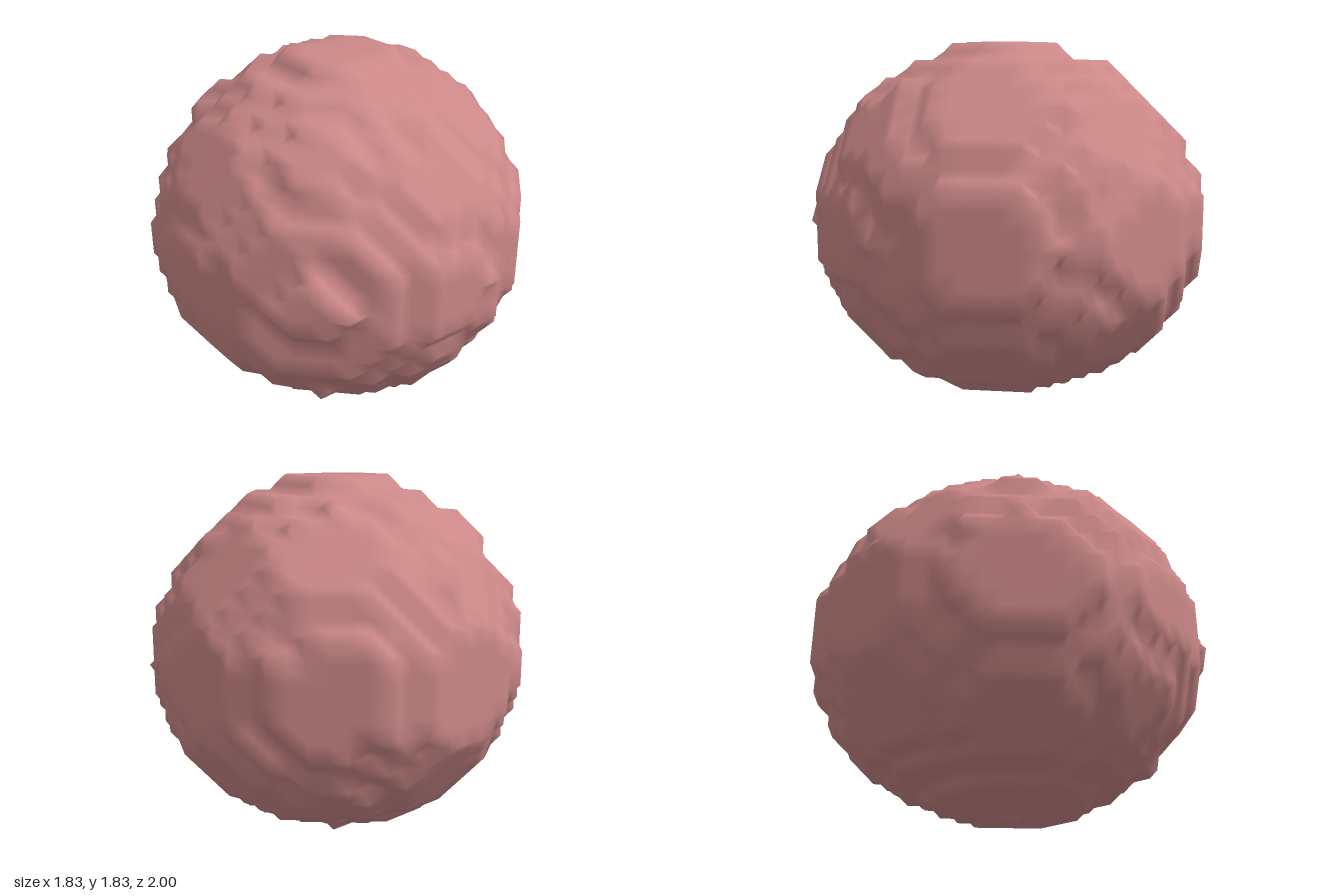
import * as THREE from 'three';

const H = 2 / 23; // grid spacing

// Squared semi-axes in grid steps, [negative side, positive side] for x, y, z
const AXES = [[118, 114], [100, 110], [137, 125.9]];

// The boulder is a slightly uneven ellipsoid sampled as solid / empty grid points
function solid(p) {
  return p.reduce((sum, c, a) => sum + (c * c) / AXES[a][c < 0 ? 0 : 1], 0) <= 1;
}

// The six faces of a cell, corners counter-clockwise from outside
const FACES = [];
for (let a = 0; a < 3; a++) {
  for (const s of [0, 1]) {
    const loop = [[0, 0], [1, 0], [1, 1], [0, 1]].map(([u, v]) => {
      const c = [0, 0, 0];
      c[a] = s;
      c[(a + 1) % 3] = u;
      c[(a + 2) % 3] = v;
      return c;
    });
    FACES.push(s ? loop : loop.reverse());
  }
}

// Chamfered skin through the midpoints between solid and empty grid points
function gridSkin(n) {
  const positions = [], indices = [], ids = new Map();

  const midpoint = (a, b) => {
    const sum = a.map((c, i) => c + b[i]);
    const key = sum.join();
    if (!ids.has(key)) {
      ids.set(key, positions.length / 3);
      positions.push(sum[0] * H / 2, (sum[1] / 2 + 10.5) * H, sum[2] * H / 2);
    }
    return ids.get(key);
  };

  const addCell = (x, y, z) => {
    // On each face, link the edge entering the solid to the edge leaving it
    const next = new Map();
    for (const face of FACES) {
      const pts = face.map((c) => [x + c[0], y + c[1], z + c[2]]);
      const inside = pts.map(solid);
      for (let e = 0; e < 4; e++) {
        if (inside[e] || !inside[(e + 1) % 4]) continue;
        let f = (e + 1) % 4;
        while (inside[(f + 1) % 4]) f = (f + 1) % 4;
        next.set(midpoint(pts[e], pts[(e + 1) % 4]), midpoint(pts[f], pts[(f + 1) % 4]));
      }
    }
    // Follow the links into closed loops and fill each as a fan
    while (next.size) {
      const loop = [];
      let v = next.keys().next().value;
      while (next.has(v)) {
        loop.push(v);
        const w = next.get(v);
        next.delete(v);
        v = w;
      }
      for (let i = 1; i < loop.length - 1; i++) indices.push(loop[0], loop[i], loop[i + 1]);
    }
  };

  for (let x = -n; x < n; x++)
    for (let y = -n; y < n; y++)
      for (let z = -n; z < n; z++) addCell(x, y, z);

  const geometry = new THREE.BufferGeometry();
  geometry.setAttribute('position', new THREE.Float32BufferAttribute(positions, 3));
  geometry.setIndex(indices);
  geometry.computeVertexNormals();
  return geometry;
}

export function createModel() {
  const group = new THREE.Group();
  const boulder = new THREE.Mesh(gridSkin(13), new THREE.MeshStandardMaterial({ color: 0xcc8888 }));
  boulder.name = 'boulder';
  group.add(boulder);
  return group;
}
